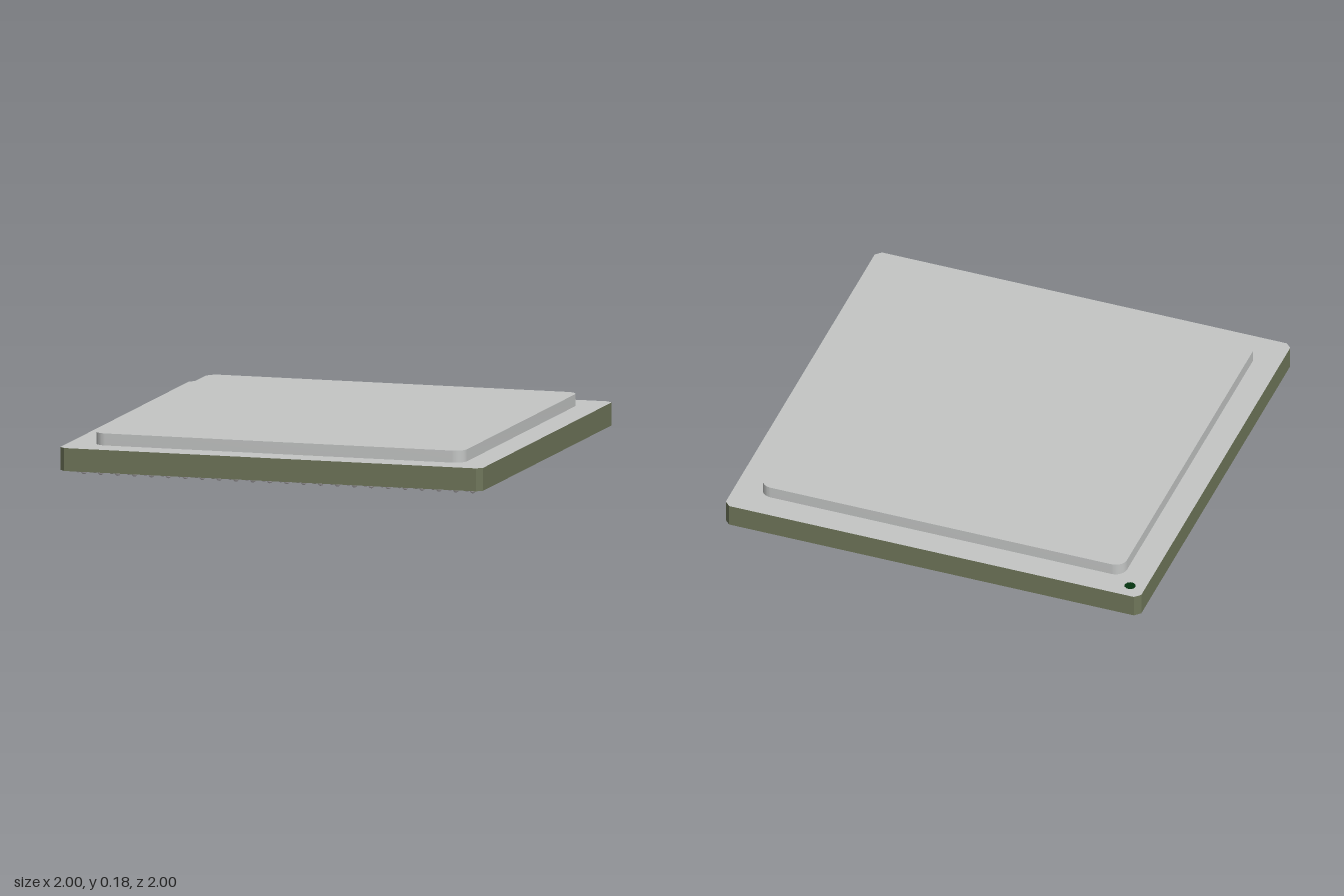
import * as THREE from 'three';
import { mergeGeometries, toCreasedNormals } from 'three/addons/utils/BufferGeometryUtils.js';

const mat = (name, color) => {
  const m = new THREE.MeshStandardMaterial({ color });
  m.name = name;
  return m;
};

// Square outline with chamfered corners
function chamferedSquare(h, c) {
  const s = new THREE.Shape();
  s.moveTo(-h + c, -h);
  s.lineTo(h - c, -h).lineTo(h, -h + c).lineTo(h, h - c).lineTo(h - c, h);
  s.lineTo(-h + c, h).lineTo(-h, h - c).lineTo(-h, -h + c).closePath();
  return s;
}

// Square outline with rounded corners
function roundedSquare(h, r) {
  const s = new THREE.Shape(), q = Math.PI / 2, k = h - r;
  s.absarc(k, k, r, 0, q);
  s.absarc(-k, k, r, q, 2 * q);
  s.absarc(-k, -k, r, 2 * q, 3 * q);
  s.absarc(k, -k, r, 3 * q, 4 * q);
  s.closePath();
  return s;
}

// Upright slab from y0 to y1
function slab(shape, y0, y1) {
  const g = new THREE.ExtrudeGeometry(shape, { depth: y1 - y0, bevelEnabled: false, curveSegments: 8 });
  return g.rotateX(-Math.PI / 2).translate(0, y0, 0);
}

export function createModel() {
  const group = new THREE.Group();
  const silver = mat('silver', 0xc4c6c5);
  const olive = mat('olive', 0x6f765a);
  const darkGreen = mat('dark green', 0x04330f);
  const solder = mat('solder', 0xcdc9cc);
  const add = (name, geometry, material) => {
    const mesh = new THREE.Mesh(geometry, material);
    mesh.name = name;
    group.add(mesh);
  };

  // Board with a silver top face and olive edges
  const outline = chamferedSquare(1, 0.026);
  add('board', slab(outline, 0.02, 0.125), [silver, olive]);

  // Dark underside face
  const under = new THREE.ShapeGeometry(outline).rotateX(Math.PI / 2).translate(0, 0.019, 0);
  add('underside', under, darkGreen);

  // Raised lid
  add('lid', toCreasedNormals(slab(roundedSquare(0.875, 0.055), 0.125, 0.18), 0.6), silver);

  // Corner orientation mark
  const mark = new THREE.CircleGeometry(0.026, 10).rotateX(-Math.PI / 2).translate(-0.93, 0.127, -0.93);
  add('cornerMark', mark, darkGreen);

  // Solder balls on a checkerboard grid
  const ball = new THREE.SphereGeometry(0.016, 8, 4, 0, Math.PI * 2, Math.PI / 2, Math.PI / 2).scale(1, 1.25, 1);
  const balls = [], count = 48, pitch = 0.04;
  for (let i = 0; i < count; i++) {
    for (let j = i % 2; j < count; j += 2) {
      balls.push(ball.clone().translate(-0.94 + i * pitch, 0.02, -0.94 + j * pitch));
    }
  }
  add('solderBalls', mergeGeometries(balls), solder);

  return group;
}
